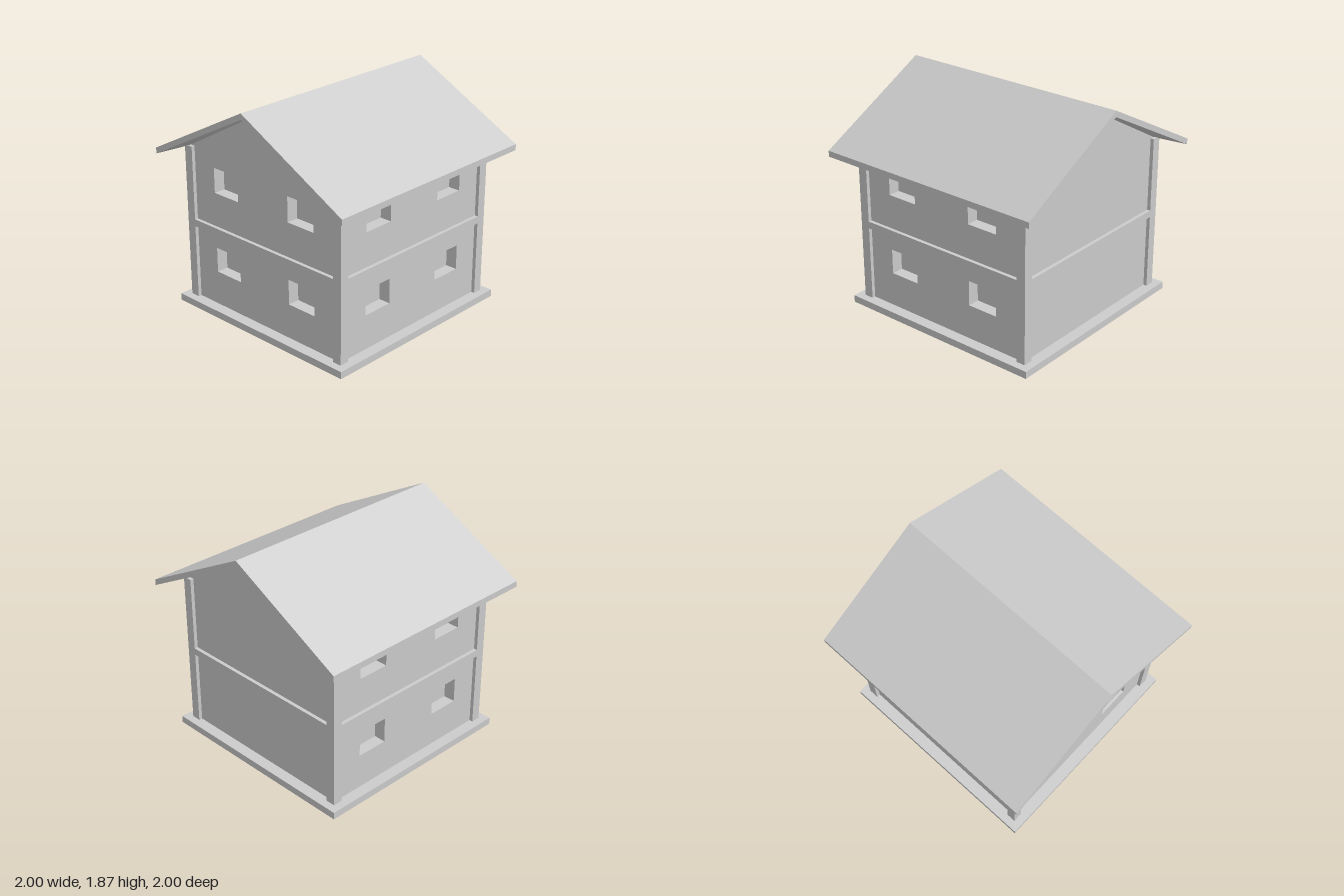
import * as THREE from 'three';

const material = new THREE.MeshStandardMaterial({ color: 0xcccccc, flatShading: true });
const WALL = 0.81, FRAME = 0.84, CORE = 0.71;   // half widths of wall face, timber frame, solid core
const BASE = 0.06, EAVE = 1.365, RIDGE = 1.82;

export function createModel() {
  const house = new THREE.Group();
  house.name = 'house';

  const add = (name, geometry, parent = house) => {
    const mesh = new THREE.Mesh(geometry, material);
    mesh.name = name;
    parent.add(mesh);
    return mesh;
  };
  const box = (name, w, h, d, x, y, z) =>
    add(name, new THREE.BoxGeometry(w, h, d)).position.set(x, y, z);
  const polygon = (points) => new THREE.Shape(points.map(([x, y]) => new THREE.Vector2(x, y)));
  const extrude = (shape, depth) => new THREE.ExtrudeGeometry(shape, { depth, bevelEnabled: false });

  // Foundation slab
  box('foundation', 1.81, BASE, 1.81, 0, BASE / 2, 0);

  // Solid core behind the windows, ending in the plain back wall
  const gable = (half) => {
    const y = RIDGE - (RIDGE - EAVE) * half / WALL;
    return polygon([[-half, BASE], [half, BASE], [half, y], [0, RIDGE], [-half, y]]);
  };
  add('core', extrude(gable(CORE), 2 * CORE)).position.z = -CORE;
  add('backWall', extrude(gable(WALL), WALL - CORE)).position.z = -WALL;

  // Window openings, two on each floor
  const cutWindows = (shape) => {
    for (const x of [-0.54, 0.27])
      for (const y of [0.35, 1.035])
        shape.holes.push(polygon([[x, y], [x, y + 0.21], [x + 0.27, y + 0.21], [x + 0.27, y]]));
    return shape;
  };
  add('frontWall', extrude(cutWindows(gable(WALL)), WALL - CORE)).position.z = CORE;
  for (const s of [-1, 1]) {
    const shape = polygon([[-CORE, BASE], [CORE, BASE], [CORE, EAVE], [-CORE, EAVE]]);
    const wall = add(s > 0 ? 'leftWall' : 'rightWall', extrude(cutWindows(shape), WALL - CORE));
    wall.rotation.y = s * Math.PI / 2;
    wall.position.x = s * CORE;
  }

  // Corner posts and the floor beams between them
  const post = 0.08, mid = FRAME - post / 2, span = 2 * (FRAME - post);
  for (const s of [-1, 1]) {
    for (const t of [-1, 1])
      box('cornerPost', post, 1.37 - BASE, post, s * mid, (1.37 + BASE) / 2, t * mid);
    box('floorBeam', span, 0.06, post, 0, 0.72, s * mid);
    box('floorBeam', post, 0.06, span, s * mid, 0.72, 0);
  }

  add('roof', roofGeometry());
  return house;
}

// Gabled roof: rings for the upper edge, the lower edge and the line where the soffit meets the walls
function roofGeometry() {
  const ring = (half, eave, ridge) =>
    [[1, 1], [0, 1], [-1, 1], [-1, -1], [0, -1], [1, -1]]
      .map(([x, z]) => [x * half, x ? eave : ridge, z * half]);
  const rings = [ring(1, 1.345, 1.87), ring(1, 1.295, RIDGE), ring(WALL, EAVE, RIDGE)];
  const positions = [];
  const quad = (a, b, c, d) => positions.push(...a, ...b, ...c, ...a, ...c, ...d);

  // Slopes
  const top = rings[0];
  quad(top[0], top[5], top[4], top[1]);
  quad(top[1], top[4], top[3], top[2]);

  // Fascia, then soffit
  for (let r = 0; r < 2; r++)
    for (let i = 0; i < 6; i++) {
      const j = (i + 1) % 6;
      quad(rings[r][i], rings[r][j], rings[r + 1][j], rings[r + 1][i]);
    }

  const geometry = new THREE.BufferGeometry();
  geometry.setAttribute('position', new THREE.Float32BufferAttribute(positions, 3));
  geometry.computeVertexNormals();
  return geometry;
}
